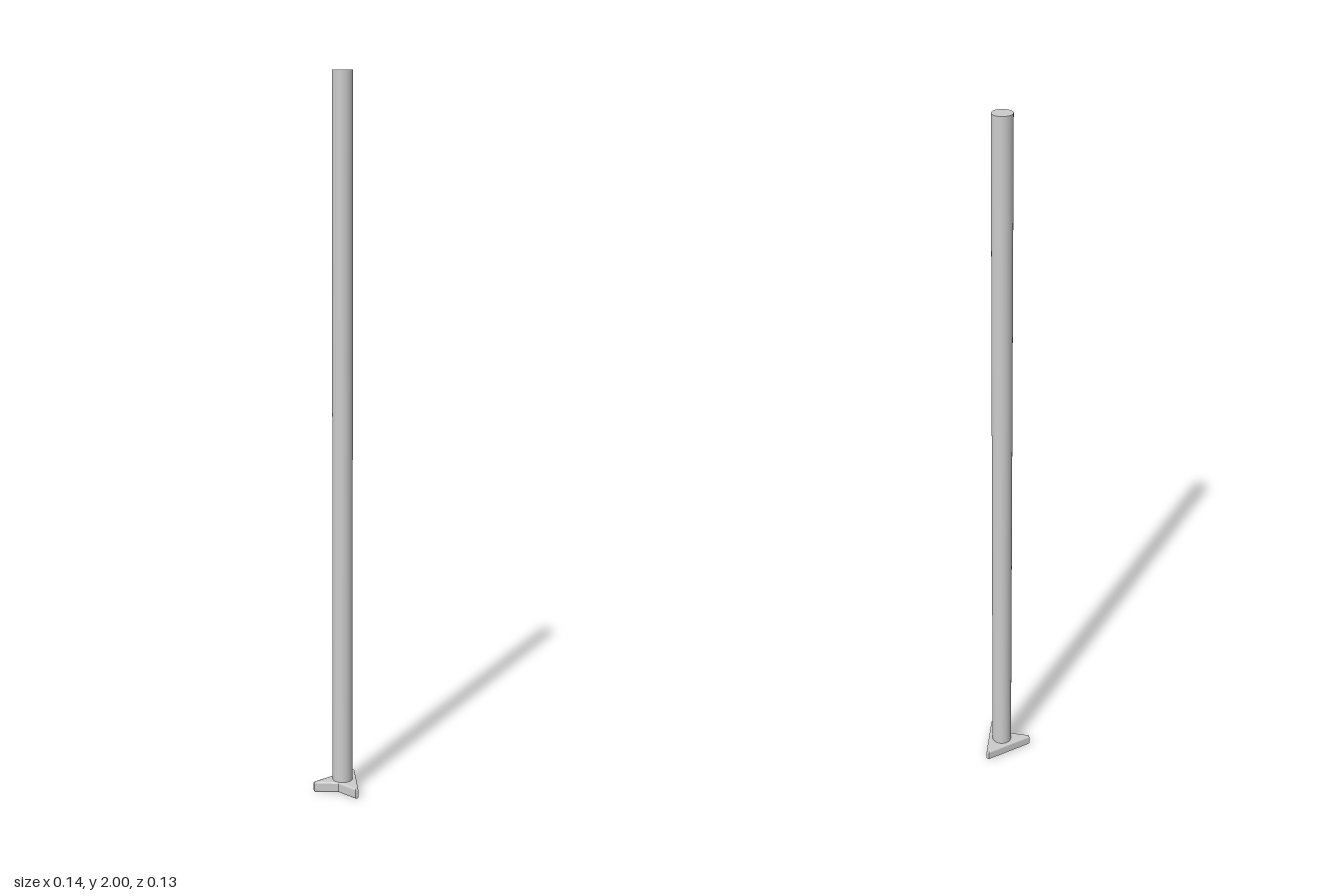
import * as THREE from 'three';

const BASE_HEIGHT = 0.03;
const BEVEL = 0.005;
const POLE_RADIUS = 0.028;
const POLE_Z = 0.011;

export function createModel() {
  const group = new THREE.Group();
  const material = new THREE.MeshStandardMaterial({ color: 0xcccccc });

  // Arrow-shaped foot: half outline as [x, z] from the notch to the tip, then mirrored
  const half = [[0.0615, 0.0605], [0.0628, 0.059], [0.001, -0.063]];
  const mirrored = half.map(([x, z]) => [-x, z]).reverse();
  const outline = [[0, 0.036], ...half, ...mirrored];
  const shape = new THREE.Shape(outline.map(([x, z]) => new THREE.Vector2(x, -z)));
  const footGeometry = new THREE.ExtrudeGeometry(shape, {
    depth: BASE_HEIGHT - 2 * BEVEL,
    bevelEnabled: true,
    bevelSize: BEVEL,
    bevelThickness: BEVEL,
    bevelSegments: 3,
  });
  footGeometry.rotateX(-Math.PI / 2);
  const foot = new THREE.Mesh(footGeometry, material);
  foot.name = 'arrowFoot';
  foot.position.y = BEVEL;
  group.add(foot);

  // Tall round pole standing on the foot
  const poleHeight = 2 - BASE_HEIGHT;
  const pole = new THREE.Mesh(
    new THREE.CylinderGeometry(POLE_RADIUS, POLE_RADIUS, poleHeight, 32), material);
  pole.name = 'pole';
  pole.position.set(0, BASE_HEIGHT + poleHeight / 2, POLE_Z);
  group.add(pole);

  return group;
}
